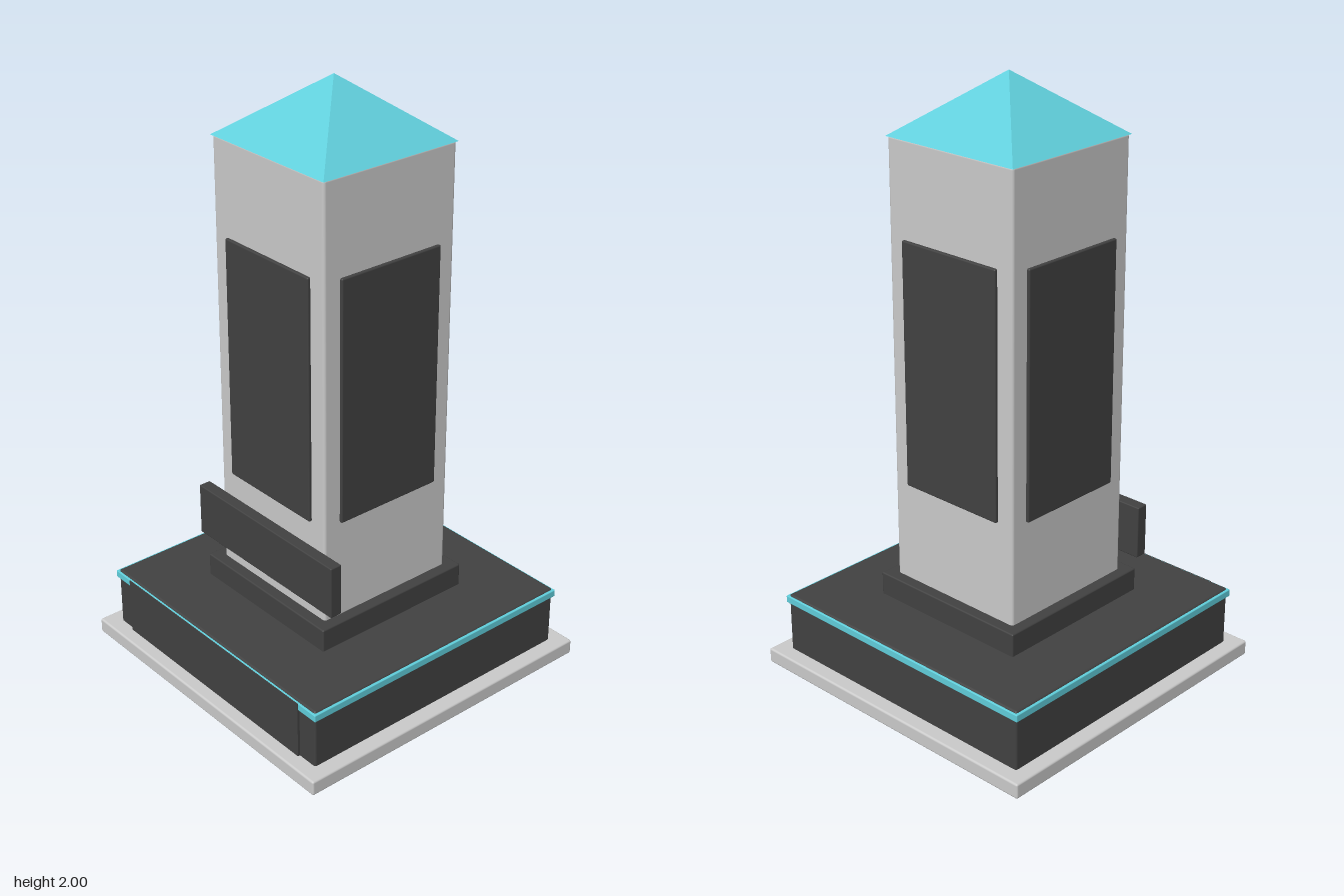
import * as THREE from 'three';
import { RoundedBoxGeometry } from 'three/addons/geometries/RoundedBoxGeometry.js';

const material = (name, color) => {
  const m = new THREE.MeshStandardMaterial({ color });
  m.name = name;
  return m;
};

export function createModel() {
  const stone = material('light stone', 0xcacaca);
  const dark = material('dark slate', 0x414141);
  const cyan = material('cyan', 0x60cedb);
  const group = new THREE.Group();
  group.name = 'obelisk';

  const add = (name, geometry, mat, x = 0, y = 0, z = 0) => {
    const mesh = new THREE.Mesh(geometry, mat);
    mesh.name = name;
    mesh.position.set(x, y, z);
    group.add(mesh);
    return mesh;
  };

  // Softly bevelled block from y0 to y1
  const block = (name, mat, w, y0, y1, d, z = 0, r = 0.005) =>
    add(name, new RoundedBoxGeometry(w, y1 - y0, d, 2, r), mat, 0, (y0 + y1) / 2, z);

  // Stepped base with a coloured band under its top edge
  block('baseSlab', stone, 1.13, 0, 0.052, 1.13, 0, 0.007);
  block('base', dark, 1.024, 0.03, 0.256, 1.024, 0, 0.008);
  block('baseBand', cyan, 1.04, 0.225, 0.25, 1.036, 0, 0.003);

  // Front panel interrupting the band
  add('baseFrontPanel', new THREE.BoxGeometry(0.88, 0.197, 0.01), dark, 0, 0.1505, 0.515);

  // Plinth, shaft and sign
  block('plinth', dark, 0.588, 0.25, 0.334, 0.59);
  block('shaft', stone, 0.512, 0.3, 1.807, 0.512, 0, 0.01);
  block('sign', dark, 0.666, 0.402, 0.582, 0.042, 0.275, 0.004);

  // One tall panel on each side of the shaft
  ['front', 'left', 'back', 'right'].forEach((side, i) => {
    const a = i * Math.PI / 2;
    const panel = block(side + 'ShaftPanel', dark, 0.39, 0.673, 1.493, 0.03, 0, 0.005);
    panel.position.x = Math.sin(a) * 0.251;
    panel.position.z = Math.cos(a) * 0.251;
    panel.rotation.y = a;
  });

  // Pyramid cap
  const cap = new THREE.ConeGeometry(0.26 * Math.SQRT2, 0.197, 4, 1).rotateY(Math.PI / 4).toNonIndexed();
  cap.computeVertexNormals();
  add('cap', cap, cyan, 0, 1.9015, 0);

  return group;
}
